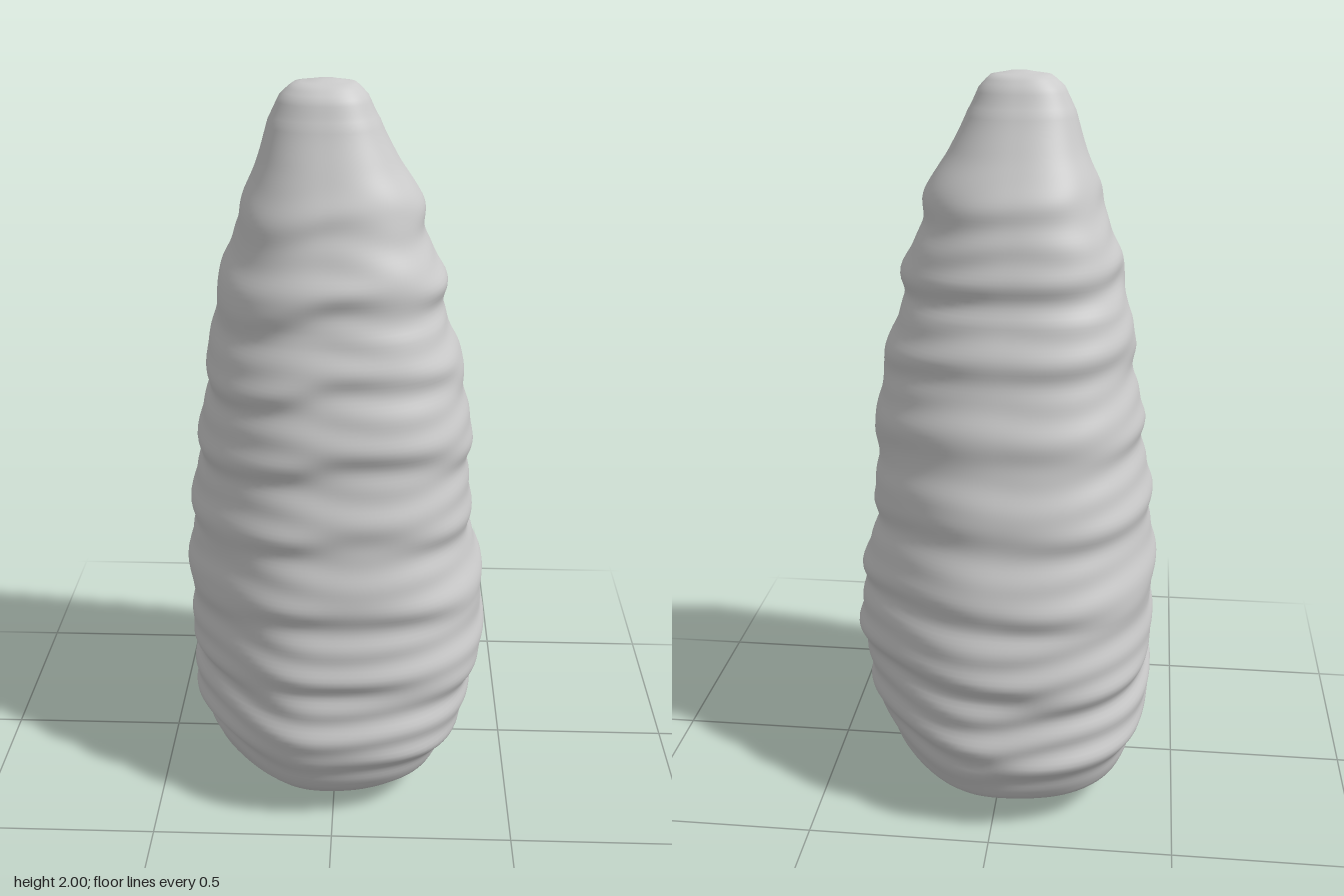
import * as THREE from 'three';

// Cross-sections from base to tip: [y, x min, x max, z min, z max]
const SECTIONS = [
  [0, -0.04, 0.0, -0.02, 0.02],
  [0.003, -0.18, 0.08, -0.15, 0.22],
  [0.02, -0.29, 0.17, -0.25, 0.31],
  [0.05, -0.33, 0.26, -0.36, 0.37],
  [0.1, -0.37, 0.32, -0.43, 0.42],
  [0.2, -0.405, 0.37, -0.47, 0.465],
  [0.3, -0.42, 0.40, -0.465, 0.47],
  [0.4, -0.42, 0.42, -0.46, 0.46],
  [0.5, -0.42, 0.425, -0.455, 0.45],
  [0.6, -0.425, 0.415, -0.44, 0.44],
  [0.8, -0.41, 0.375, -0.395, 0.42],
  [1.0, -0.385, 0.37, -0.35, 0.39],
  [1.2, -0.355, 0.35, -0.30, 0.37],
  [1.4, -0.33, 0.295, -0.25, 0.325],
  [1.5, -0.305, 0.28, -0.225, 0.31],
  [1.6, -0.275, 0.24, -0.21, 0.28],
  [1.7, -0.245, 0.22, -0.175, 0.25],
  [1.8, -0.205, 0.16, -0.12, 0.21],
  [1.9, -0.175, 0.11, -0.07, 0.17],
  [1.96, -0.145, 0.08, -0.04, 0.145],
  [1.99, -0.11, 0.05, -0.015, 0.115],
  [2.0, -0.05, 0.0, 0.03, 0.07],
];

// Smooth Catmull-Rom blend between neighbouring sections
function sectionAt(i, t) {
  const last = SECTIONS.length - 1;
  const at = k => SECTIONS[Math.min(last, Math.max(0, k))];
  const [p, q, r, s] = [at(i - 1), at(i), at(i + 1), at(i + 2)];
  return q.map((_, k) => k === 0
    ? THREE.MathUtils.lerp(q[0], r[0], t)
    : 0.5 * (2 * q[k] + (r[k] - p[k]) * t
      + (2 * p[k] - 5 * q[k] + 4 * r[k] - s[k]) * t * t
      + (3 * q[k] - p[k] - 3 * r[k] + s[k]) * t * t * t));
}

// Wavy horizontal folds, fading out at the base and the tip
function wrinkle(y, a) {
  const fade = THREE.MathUtils.smoothstep(y, 0.05, 0.25)
    * (1 - THREE.MathUtils.smoothstep(y, 1.5, 1.85));
  const phase = y * 30 + 0.8 * Math.sin(a * 2 + y * 2) + 0.5 * Math.sin(a * 3 + 1);
  const broad = Math.sin(phase + 0.5 * Math.sin(phase));
  const fine = Math.sin(y * 68 + 1.5 * Math.sin(a + 2) + Math.sin(a * 4 + y * 3));
  const low = 1 - THREE.MathUtils.smoothstep(y, 0.3, 0.7);
  return fade * (0.008 * broad + (0.002 + 0.003 * low) * fine);
}

function bodyGeometry() {
  const around = 128;
  const positions = [], index = [];
  let rows = 0;
  const addRing = ([y, x0, x1, z0, z1]) => {
    const h = y / 2;
    const cx = -0.03 * h - 0.02 * (1 - h), cz = 0.05 * h;
    for (let j = 0; j < around; j++) {
      const a = j / around * Math.PI * 2;
      const c = Math.cos(a), s = Math.sin(a);
      // rounded-square outline, fuller on one diagonal
      const n = 2.2 + 0.25 * h + (0.4 - 0.3 * h) * Math.sin(2 * a);
      const r = (Math.abs(c) ** n + Math.abs(s) ** n) ** (-1 / n);
      const w = wrinkle(y, a);
      positions.push(
        cx + c * (r * (c > 0 ? x1 - cx : cx - x0) + w), y,
        cz + s * (r * (s > 0 ? z1 - cz : cz - z0) + w));
    }
    rows++;
  };
  for (let i = 0; i < SECTIONS.length - 1; i++) {
    const steps = Math.max(3, Math.round((SECTIONS[i + 1][0] - SECTIONS[i][0]) / 0.0125));
    for (let k = 0; k < steps; k++) addRing(sectionAt(i, k / steps));
  }
  addRing(SECTIONS[SECTIONS.length - 1]);

  for (let i = 0; i < rows - 1; i++) {
    for (let j = 0; j < around; j++) {
      const a = i * around + j, b = i * around + (j + 1) % around;
      index.push(a, a + around, b, b, a + around, b + around);
    }
  }
  // close the base and the tip
  const base = positions.length / 3, top = (rows - 1) * around;
  positions.push(-0.02, 0, 0, -0.03, 2, 0.05);
  for (let j = 0; j < around; j++) {
    const k = (j + 1) % around;
    index.push(base, j, k, base + 1, top + k, top + j);
  }
  const geometry = new THREE.BufferGeometry();
  geometry.setAttribute('position', new THREE.Float32BufferAttribute(positions, 3));
  geometry.setIndex(index);
  geometry.computeVertexNormals();
  return geometry;
}

export function createModel() {
  const group = new THREE.Group();
  group.name = 'wrinkledCone';
  const body = new THREE.Mesh(bodyGeometry(),
    new THREE.MeshStandardMaterial({ color: 0xcccccc }));
  body.name = 'body';
  group.add(body);
  return group;
}
